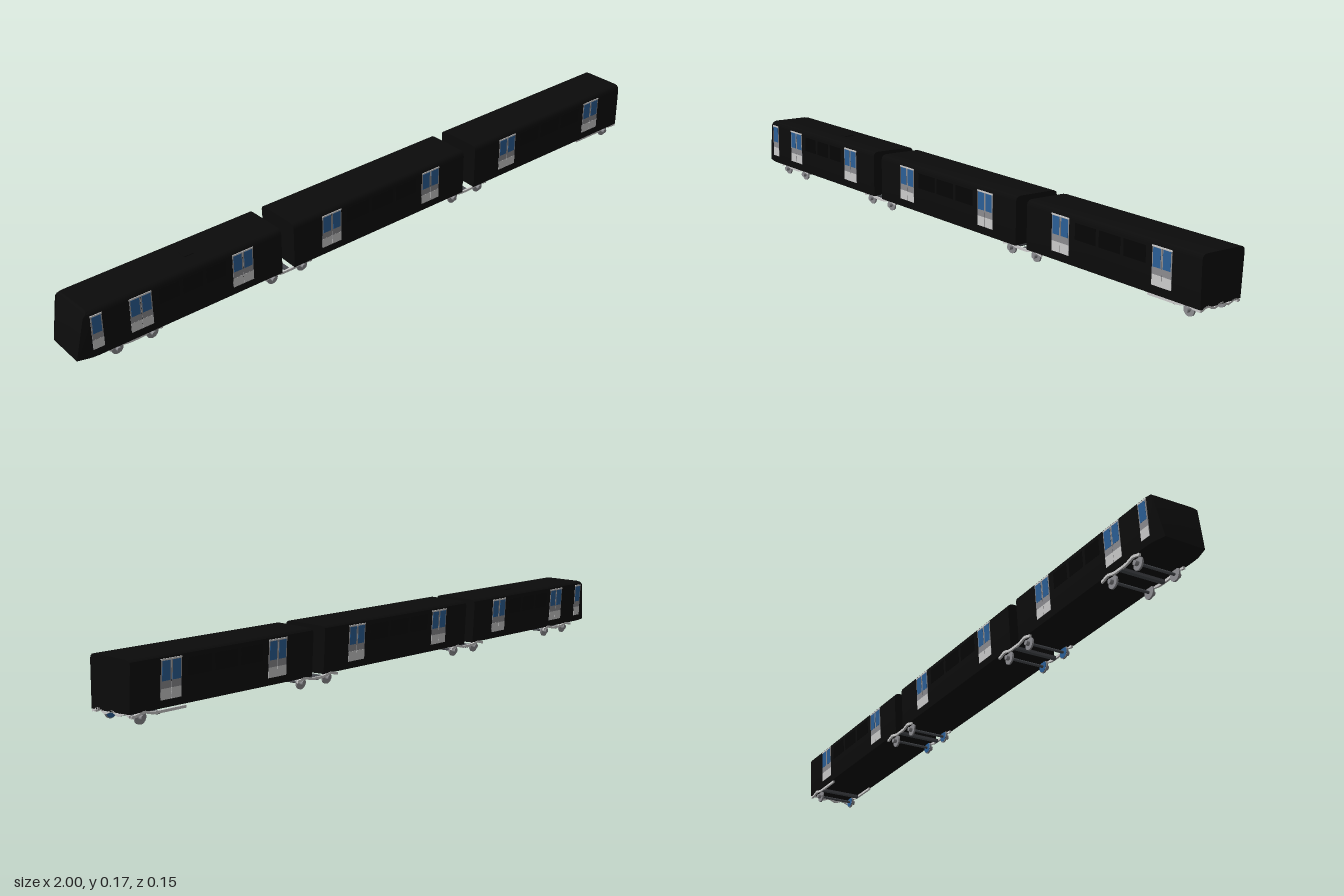
import * as THREE from 'three';
import { toCreasedNormals } from 'three/addons/utils/BufferGeometryUtils.js';

const mat = (color) => new THREE.MeshStandardMaterial({ color, side: THREE.DoubleSide });
const clamp01 = (v) => Math.min(1, Math.max(0, v));

export function createModel() {
  const black = mat(0x0b0b0b), glass = mat(0x050505), blue = mat(0x2b5f96);
  const light = mat(0xcccccc), grey = mat(0x8c8c90), dark = mat(0x4a4d52);
  const train = new THREE.Group();
  train.name = 'train';

  const add = (parent, name, geometry, material, x = 0, y = 0, z = 0) => {
    const mesh = new THREE.Mesh(geometry, material);
    mesh.name = name;
    mesh.position.set(x, y, z);
    parent.add(mesh);
    return mesh;
  };
  const box = (parent, name, material, w, h, d, x, y, z) =>
    add(parent, name, new THREE.BoxGeometry(w, h, d), material, x, y, z);

  // Car cross-section as [z, y]: upright on the +z side, leaning slightly on the -z side
  const section = [
    [0.073, 0.03], [0.073, 0.153], [0.071, 0.161], [0.066, 0.166], [0.058, 0.168],
    [-0.056, 0.165], [-0.066, 0.163], [-0.071, 0.159], [-0.073, 0.152], [-0.066, 0.033],
  ];
  const lean = Math.atan2(0.007, 0.119);

  // Body shell, with a swept and narrowed nose on the leading car
  function shell(x0, x1, hasNose) {
    const shape = new THREE.Shape(section.map(([z, y]) => new THREE.Vector2(-z, y)));
    const g = new THREE.ExtrudeGeometry(shape, {
      depth: x1 - x0, steps: hasNose ? 32 : 1, bevelEnabled: false,
    });
    g.rotateY(Math.PI / 2).translate(x0, 0, 0);
    if (hasNose) {
      const p = g.attributes.position;
      for (let i = 0; i < p.count; i++) {
        const y = p.getY(i);
        let x = p.getX(i);
        x += 0.04 * clamp01((y - 0.09) / 0.078) ** 2 * clamp01((-0.92 - x) / 0.08);
        p.setXYZ(i, x, y, p.getZ(i) * (1 - 0.17 * clamp01((-0.955 - x) / 0.045)));
      }
    }
    return toCreasedNormals(g, 0.6);
  }

  // Group lying on one side wall, local +z pointing outwards
  function onWall(parent, name, x, side) {
    const g = new THREE.Group();
    g.name = name;
    g.position.set(x, 0.105, side > 0 ? 0.073 : -0.0702);
    if (side < 0) g.rotation.set(-lean, Math.PI, 0, 'XYZ');
    parent.add(g);
    return g;
  }

  // Sliding door with one blue window per leaf
  function door(parent, x, side, leaves) {
    const g = onWall(parent, leaves > 1 ? 'door' : 'cabDoor', x, side);
    const w = 0.034;
    for (let i = 0; i < leaves; i++) {
      const lx = (i - (leaves - 1) / 2) * w;
      box(g, 'doorLeaf', grey, w - 0.001, 0.1, 0.002, lx, -0.002, 0);
      box(g, 'doorWindow', blue, w - 0.008, 0.05, 0.003, lx, 0.02, 0);
      box(g, 'kickPanel', light, w - 0.001, 0.028, 0.0026, lx, -0.038, 0);
    }
    box(g, 'doorHeader', light, w * leaves, 0.004, 0.003, 0, 0.048, 0);
  }

  // The three cars
  const cars = [
    { name: 'leadingCar', x0: -1, x1: -0.36, doors: [-0.81, -0.49], nose: true },
    { name: 'middleCar', x0: -0.318, x1: 0.318, doors: [-0.185, 0.185] },
    { name: 'rearCar', x0: 0.364, x1: 1, doors: [0.5, 0.87] },
  ];
  for (const { name, x0, x1, doors, nose } of cars) {
    const car = new THREE.Group();
    car.name = name;
    train.add(car);
    add(car, 'bodyShell', shell(x0, x1, nose), black);
    for (const side of [1, -1]) {
      for (const x of doors) door(car, x, side, 2);
      if (nose) door(car, -0.94, side, 1);
      // Dark side windows between the doors
      const span = doors[1] - doors[0] - 0.1;
      for (let i = 0; i < 3; i++) {
        const wall = onWall(car, 'sideWindow', doors[0] + 0.05 + span * (i + 0.5) / 3, side);
        box(wall, 'pane', glass, span / 3 - 0.012, 0.045, 0.001, 0, 0.02, 0);
      }
    }
    if (nose) box(car, 'roofUnit', black, 0.03, 0.004, 0.03, -0.62, 0.167, 0);
  }

  // Side beam of a bogie: arched over each axle and dropped between them
  function beam(x0, x1, axles) {
    const pts = [];
    for (let i = 0; i <= 16; i++) {
      const x = x0 + (x1 - x0) * i / 16;
      const near = Math.min(...axles.map((a) => Math.abs(x - a)));
      pts.push([x, 0.025 + 0.007 * Math.exp(-((near / 0.018) ** 2))]);
    }
    const s = new THREE.Shape();
    pts.forEach(([x, y], i) => (i ? s.lineTo(x, y + 0.004) : s.moveTo(x, y + 0.004)));
    pts.reverse().forEach(([x, y]) => s.lineTo(x, y - 0.003));
    return new THREE.ExtrudeGeometry(s, { depth: 0.006, bevelEnabled: false });
  }

  const wheelGeo = new THREE.CylinderGeometry(0.018, 0.018, 0.005, 20).rotateX(Math.PI / 2);
  const discGeo = new THREE.CylinderGeometry(0.016, 0.016, 0.001, 20).rotateX(Math.PI / 2);
  const hubGeo = new THREE.CylinderGeometry(0.007, 0.007, 0.014, 12).rotateX(Math.PI / 2);
  const axleGeo = new THREE.CylinderGeometry(0.004, 0.004, 0.11, 10).rotateX(Math.PI / 2);

  // Bogies: one under the nose, one across each gap, a single axle at the rear
  const bogies = [
    { x0: -0.91, x1: -0.75, axles: [-0.883, -0.777] },
    { x0: -0.415, x1: -0.255, axles: [-0.387, -0.284], inner: true },
    { x0: 0.26, x1: 0.42, axles: [0.288, 0.391], inner: true },
    { x0: 0.82, x1: 0.995, axles: [0.953], inner: true },
  ];
  for (const { x0, x1, axles, inner } of bogies) {
    const bogie = new THREE.Group();
    bogie.name = 'bogie';
    train.add(bogie);
    for (const z of [0.064, -0.067]) add(bogie, 'sideBeam', beam(x0, x1, axles), light, 0, 0, z);
    for (const x of axles) {
      add(bogie, 'axle', axleGeo, dark, x, 0.018, 0.006);
      for (const z of [0.06, -0.049]) {
        add(bogie, 'wheel', wheelGeo, grey, x, 0.018, z);
        add(bogie, 'axleBox', hubGeo, grey, x, 0.018, z + Math.sign(z) * 0.006);
      }
      if (inner) add(bogie, 'brakeDisc', discGeo, blue, x, 0.018, 0.057);
    }
    box(bogie, 'crossBeam', dark, 0.012, 0.008, 0.13, (x0 + x1) / 2, 0.024, 0.001);
  }

  // Wavy end sill below the rear wall
  const sill = new THREE.Shape();
  const wave = (z) => 0.033 + 0.004 * Math.cos(z * 130);
  for (let i = 0; i <= 20; i++) {
    const z = 0.072 - 0.137 * i / 20;
    if (i) sill.lineTo(-z, wave(z)); else sill.moveTo(-z, wave(z));
  }
  for (let i = 20; i >= 0; i--) {
    const z = 0.072 - 0.137 * i / 20;
    sill.lineTo(-z, wave(z) - 0.006);
  }
  const sillGeo = new THREE.ExtrudeGeometry(sill, { depth: 0.006, bevelEnabled: false });
  add(train, 'rearSill', sillGeo.rotateY(Math.PI / 2), light, 0.994, 0, 0);

  return train;
}
